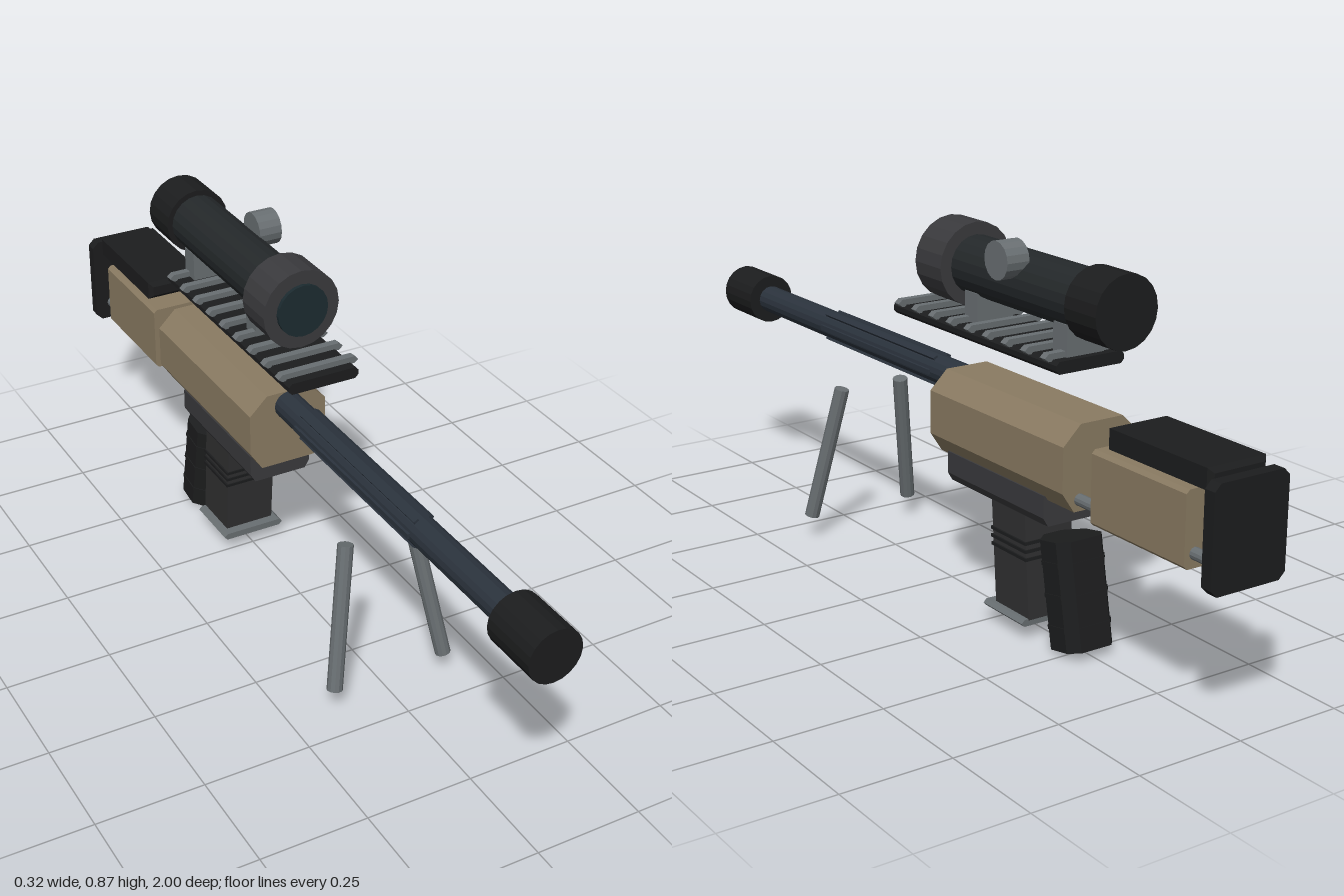
import * as THREE from 'three';

const mat = (color) => new THREE.MeshStandardMaterial({ color, flatShading: true });
const TAN = mat(0x8a7b62), BLACK = mat(0x1c1d1e), DARK = mat(0x24282a), CHARCOAL = mat(0x3a3a3d),
  STEEL = mat(0x2b333d), GREY = mat(0x696f72), MAG = mat(0x303031), GLASS = mat(0x1c2b30);

export function createModel() {
  const model = new THREE.Group();
  const add = (name, geo, material, x = 0, y = 0, z = 0) => {
    const m = new THREE.Mesh(geo, material);
    m.name = name;
    m.position.set(x, y, z);
    model.add(m);
    return m;
  };
  // Outline in x/y, extruded between two z positions
  const prism = (pts, z0, z1) => {
    const shape = new THREE.Shape(pts.map(([x, y]) => new THREE.Vector2(x, y)));
    return new THREE.ExtrudeGeometry(shape, { depth: z1 - z0, bevelEnabled: false }).translate(0, 0, z0);
  };
  // Right half of an outline, bottom to top, mirrored across x = 0
  const mirrored = (half) => [...half, ...half.map(([x, y]) => [-x, y]).reverse()];
  // Box with chamfered corners in x/y
  const chamfered = (w, y0, y1, c, z0, z1) =>
    prism(mirrored([[w - c, y0], [w, y0 + c], [w, y1 - c], [w - c, y1]]), z0, z1);
  // Slab with a small bevel on every edge
  const slab = (w, y0, y1, z0, z1, b) => {
    const s = new THREE.Shape(mirrored([[w - b, y0 + b], [w - b, y1 - b]]).map(([x, y]) => new THREE.Vector2(x, y)));
    return new THREE.ExtrudeGeometry(s, {
      depth: z1 - z0 - 2 * b, bevelSize: b, bevelThickness: b, bevelSegments: 1,
    }).translate(0, 0, z0 + b);
  };
  // Cylinder along z
  const tube = (r, z0, z1, sides = 20) =>
    new THREE.CylinderGeometry(r, r, z1 - z0, sides).rotateX(Math.PI / 2).translate(0, 0, (z0 + z1) / 2);

  // Barrel with raised flutes and muzzle
  const barrelY = 0.508;
  add('barrel', tube(0.034, -0.08, 0.88, 16), STEEL, 0, barrelY);
  add('muzzle', tube(0.062, 0.86, 1.0), BLACK, 0, barrelY);
  for (let i = 0; i < 6; i++) {
    const a = (i * Math.PI) / 3;
    const flute = add('barrelFlute', new THREE.BoxGeometry(0.01, 0.012, 0.49), STEEL,
      Math.cos(a) * 0.034, barrelY + Math.sin(a) * 0.034, 0.285);
    flute.rotation.z = a;
  }

  // Receiver and lower housing
  add('receiver', prism(mirrored([[0.068, 0.355], [0.098, 0.4], [0.098, 0.5], [0.054, 0.543]]), -0.55, -0.06), TAN);
  add('lowerReceiver', prism(mirrored([[0.066, 0.295], [0.078, 0.315], [0.078, 0.365]]), -0.46, -0.1), CHARCOAL);

  // Magazine, leaning back toward its base
  const lean = (geo) => {
    const p = geo.attributes.position;
    for (let i = 0; i < p.count; i++) p.setZ(i, p.getZ(i) + (p.getY(i) - 0.3) * 0.08);
    return geo;
  };
  add('magazine', lean(new THREE.BoxGeometry(0.124, 0.245, 0.122).translate(0, 0.178, -0.31)), MAG);
  for (let i = 0; i < 3; i++)
    add('magazineRib', lean(new THREE.BoxGeometry(0.132, 0.007, 0.128).translate(0, 0.193 + i * 0.018, -0.31)), BLACK);
  add('magazineBase', prism(mirrored([[0.072, 0.043], [0.08, 0.051], [0.072, 0.059]]), -0.39, -0.245), GREY);

  // Pistol grip, chamfered corners with raised bands
  const grip = new THREE.Group();
  grip.name = 'grip';
  const gripSlice = (s, h, y) => {
    const g = prism(mirrored([[0.024, -0.059], [0.061, -0.022], [0.061, 0.034], [0.04, 0.059]]), -h / 2, h / 2);
    return g.scale(s, s, 1).rotateX(Math.PI / 2).translate(0, y, 0);
  };
  // The narrow chamfered end of the section faces forward
  const gripBody = new THREE.Mesh(gripSlice(1, 0.24, 0), BLACK);
  gripBody.name = 'gripBody';
  grip.add(gripBody);
  for (const y of [-0.07, 0, 0.07]) {
    const band = new THREE.Mesh(gripSlice(1.03, 0.009, y), BLACK);
    band.name = 'gripBand';
    grip.add(band);
  }
  grip.children.forEach((m) => m.geometry.rotateY(Math.PI));
  grip.position.set(0, 0.14, -0.47);
  grip.rotation.x = 0.19;
  model.add(grip);

  // Stock: body, rods, cheek rest and butt plate
  add('stock', chamfered(0.08, 0.35, 0.512, 0.008, -0.908, -0.62), TAN);
  for (const s of [-1, 1]) add('stockRod', tube(0.013, -0.955, -0.53, 12), GREY, s * 0.055, 0.381);
  add('cheekRest', slab(0.073, 0.524, 0.568, -0.964, -0.655, 0.01), BLACK);
  add('buttPlate', chamfered(0.093, 0.327, 0.552, 0.015, -1.0, -0.972), BLACK);

  // Top rail with cross teeth
  add('rail', chamfered(0.087, 0.64, 0.667, 0.008, -0.508, 0.108), BLACK);
  for (let i = 0; i < 9; i++) {
    const z = 0.075 - i * 0.069;
    add('railTooth', prism(mirrored([[0.09, 0.663], [0.1, 0.671], [0.09, 0.68]]), z - 0.009, z + 0.009), GREY);
  }

  // Scope
  const scopeY = 0.782;
  for (const z of [-0.146, -0.467])
    add('scopeMount', new THREE.BoxGeometry(0.096, 0.07, 0.048), GREY, 0, 0.7, z);
  add('scopeTube', tube(0.066, -0.53, -0.08), DARK, 0, scopeY);
  add('scopeObjective', tube(0.094, -0.095, 0.005), CHARCOAL, 0, scopeY);
  add('scopeLens', tube(0.062, -0.02, 0.014), GLASS, 0, scopeY);
  add('scopeEyepiece', tube(0.079, -0.62, -0.518), BLACK, 0, scopeY);
  add('scopeTurret', new THREE.CylinderGeometry(0.042, 0.042, 0.056, 16).rotateZ(Math.PI / 2), GREY, 0.065, 0.839, -0.302);

  // Splayed bipod legs
  for (const s of [-1, 1]) {
    const top = new THREE.Vector3(s * 0.083, 0.398, 0.355), foot = new THREE.Vector3(s * 0.14, 0.066, 0.415);
    const dir = top.clone().sub(foot);
    const leg = add('bipodLeg', new THREE.CylinderGeometry(0.018, 0.018, dir.length(), 12), GREY);
    leg.position.copy(top).add(foot).multiplyScalar(0.5);
    leg.quaternion.setFromUnitVectors(new THREE.Vector3(0, 1, 0), dir.normalize());
  }
  return model;
}
